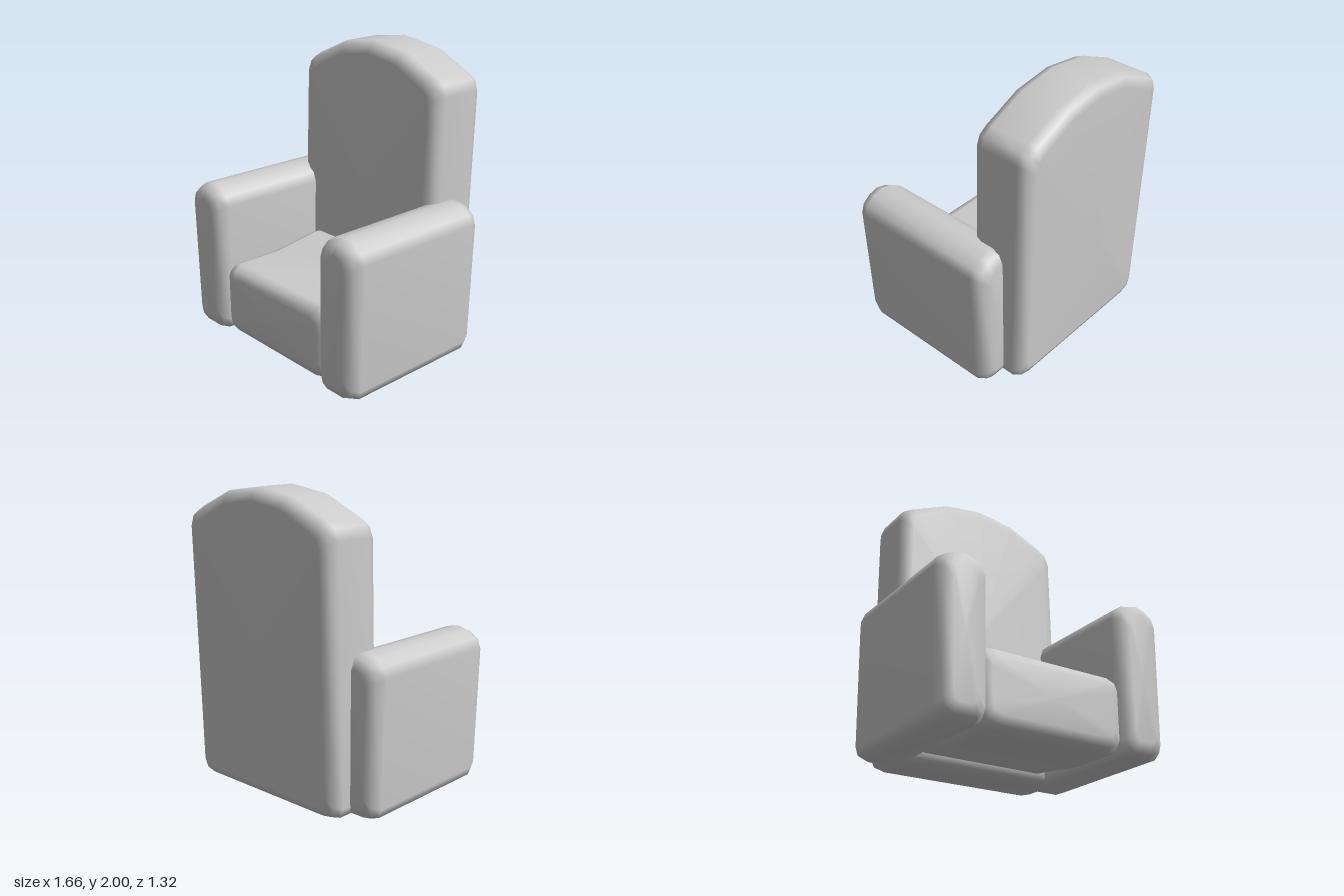
import * as THREE from 'three';

const material = new THREE.MeshStandardMaterial({ color: 0xcccccc });

// Smooth padded block: a convex counter-clockwise xy profile lofted from back to front.
// Each station is [z, inset, lift]; inset shrinks the profile to round the ends.
function cushion(name, profile, stations, warp = (x, y, z) => [x, y, z]) {
  const box = new THREE.Box2().setFromPoints(profile.map(([x, y]) => new THREE.Vector2(x, y)));
  const c = box.getCenter(new THREE.Vector2());
  const h = box.getSize(new THREE.Vector2()).multiplyScalar(0.5);
  const n = profile.length, last = stations.length - 1;
  const positions = [], index = [];

  for (const [z, inset, lift = 0] of stations) {
    const sx = 1 - inset / h.x, sy = 1 - inset / h.y;
    for (const [x, y] of profile) {
      positions.push(...warp(c.x + (x - c.x) * sx, c.y + (y - c.y) * sy + lift, z));
    }
  }
  for (const i of [0, last]) {
    positions.push(...warp(c.x, c.y + (stations[i][2] || 0), stations[i][0]));
  }

  const backCentre = n * (last + 1), frontCentre = backCentre + 1;
  for (let j = 0; j < n; j++) {
    const k = (j + 1) % n;
    for (let i = 0; i < last; i++) {
      const a = i * n + j, b = i * n + k;
      index.push(a, b, b + n, a, b + n, a + n);
    }
    index.push(backCentre, k, j, frontCentre, last * n + j, last * n + k);
  }

  const geometry = new THREE.BufferGeometry();
  geometry.setAttribute('position', new THREE.Float32BufferAttribute(positions, 3));
  geometry.setIndex(index);
  geometry.computeVertexNormals();
  const mesh = new THREE.Mesh(geometry, material);
  mesh.name = name;
  return mesh;
}

// Mirror the right half of a profile, listed from bottom to top
const mirror = (half) => [
  ...half,
  ...half.filter(([x]) => x > 0).reverse().map(([x, y]) => [-x, y]),
];

// Stations with softly rounded ends between two depths
const rounded = (z0, z1, r) => [
  [z0, r], [z0 + r * 0.3, r * 0.3], [z0 + r, 0],
  [z1 - r, 0], [z1 - r * 0.3, r * 0.3], [z1, r],
];

export function createModel() {
  const group = new THREE.Group();
  group.name = 'armchair';

  // Backrest with arched top, leaning slightly backwards
  const backProfile = mirror([
    [0.53, 0], [0.605, 0.02], [0.63, 0.08], [0.63, 1.73],
    [0.605, 1.8], [0.545, 1.84], [0.28, 1.96], [0, 2],
  ]);
  group.add(cushion('backrest', backProfile, rounded(-0.6, -0.17, 0.08),
    (x, y, z) => [x, y, z - 0.031 * y]));

  // Seat, level in front and rising towards the backrest
  const seatProfile = mirror([
    [0.43, 0.01], [0.495, 0.03], [0.52, 0.09],
    [0.52, 0.43], [0.495, 0.485], [0.43, 0.51],
  ]);
  group.add(cushion('seat', seatProfile, [
    [-0.32, 0.08, 0.05], [-0.24, 0, 0.05], [-0.16, 0, 0.05], [0.02, 0, 0.025],
    [0.2, 0, 0], [0.53, 0, 0], [0.587, 0.025, 0], [0.61, 0.08, 0],
  ]));

  // Arms, a little wider at the rounded top
  const armProfile = [
    [0.545, 0], [0.72, 0], [0.785, 0.025], [0.805, 0.08],
    [0.83, 0.92], [0.805, 0.985], [0.74, 1.03], [0.66, 1.05],
    [0.575, 1.03], [0.51, 0.985], [0.487, 0.92],
    [0.48, 0.08], [0.5, 0.025],
  ];
  const armStations = rounded(-0.46, 0.66, 0.09);
  group.add(cushion('leftArm', armProfile, armStations));
  group.add(cushion('rightArm',
    armProfile.map(([x, y]) => [-x, y]).reverse(), armStations));

  return group;
}
